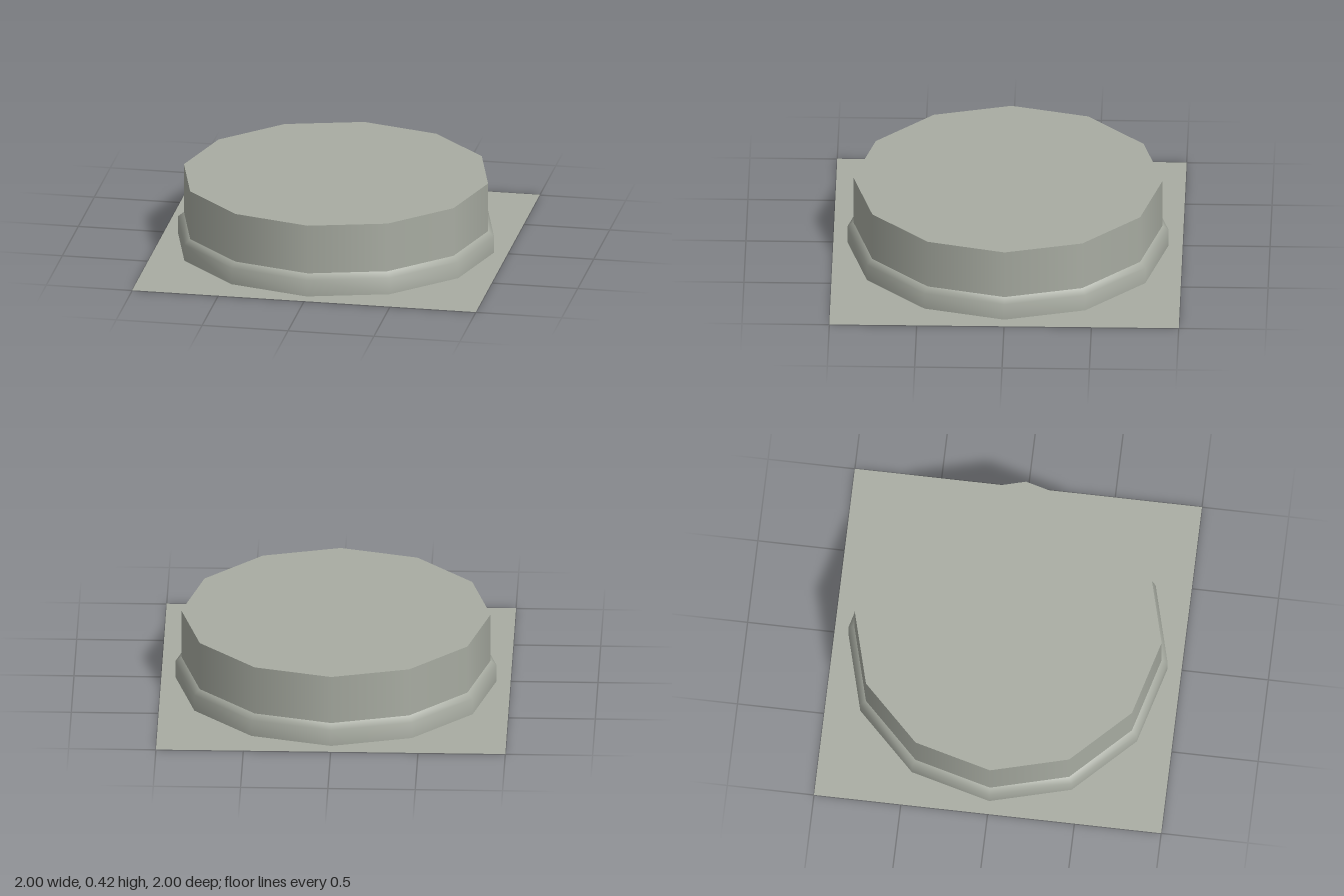
import * as THREE from 'three';

const SIDES = 12;
const OUTER = 0.92, INNER = 0.885;
const TRIM_TOP = 0.13, TOP = 0.42;

export function createModel() {
  const group = new THREE.Group();
  const stone = new THREE.MeshStandardMaterial({ color: 0xa8aca2 });
  stone.name = 'greyStone';
  const stoneTwoSided = new THREE.MeshStandardMaterial({ color: 0xa8aca2, side: THREE.DoubleSide });
  stoneTwoSided.name = 'greyStoneSheet';

  const add = (name, geometry, y, material = stone) => {
    const mesh = new THREE.Mesh(geometry, material);
    mesh.name = name;
    mesh.position.y = y;
    group.add(mesh);
  };

  // Thin square ground sheet
  add('groundSheet', new THREE.PlaneGeometry(2, 2).rotateX(-Math.PI / 2), 0.002, stoneTwoSided);

  // Base trim: upright band that rolls smoothly into a bevel
  const profile = [[OUTER, 0], [OUTER, 0.1], [INNER, TRIM_TOP]].map(([r, y]) => new THREE.Vector2(r, y));
  add('baseTrim', new THREE.LatheGeometry(profile, SIDES), 0);

  // Rim under the trim: faces down but keeps its upward normals
  const rim = new THREE.RingGeometry(INNER, OUTER, SIDES).rotateX(-Math.PI / 2);
  rim.setIndex(Array.from(rim.index.array).reverse());
  add('trimUnderside', rim, 0);

  // Drum wall and its flat top
  const height = TOP - TRIM_TOP;
  add('drumWall', new THREE.CylinderGeometry(INNER, INNER, height, SIDES, 1, true), TRIM_TOP + height / 2);
  add('drumTop', new THREE.CircleGeometry(INNER, SIDES).rotateX(-Math.PI / 2), TOP);

  return group;
}
